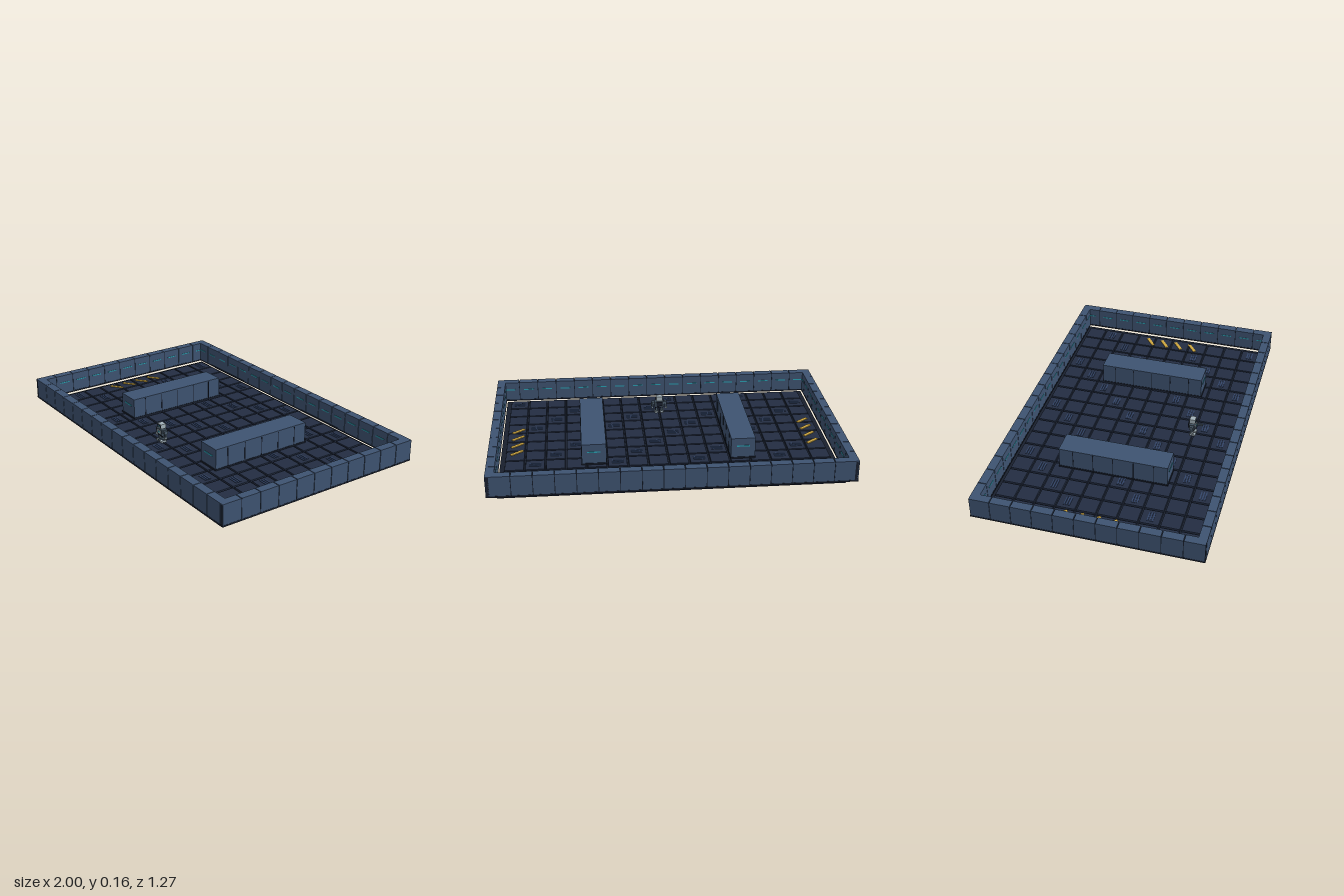
import * as THREE from 'three';

const P = 0.1154; // tile and wall panel pitch
const mat = (name, color) => new THREE.MeshStandardMaterial({ name, color });

export function createModel() {
  const root = new THREE.Group();
  root.name = 'arena';
  const M = {
    wall: mat('steelBlue', 0x3e5371),
    tile: mat('floorNavy', 0x232d42),
    dark: mat('darkNavy', 0x181f2d),
    vent: mat('ventBlue', 0x33466a),
    cyan: mat('cyanLight', 0x2ba3b5),
    yellow: mat('hazardYellow', 0xd0a840),
    shell: mat('robotGrey', 0xa3b2ba),
    joint: mat('robotSlate', 0x4a5b6b),
  };
  const group = (name, parent = root) => {
    const g = new THREE.Group();
    g.name = name;
    parent.add(g);
    return g;
  };
  const box = (parent, name, m, w, h, d, x, y, z) => {
    const b = new THREE.Mesh(new THREE.BoxGeometry(w, h, d), m);
    b.name = name;
    b.position.set(x, y, z);
    parent.add(b);
    return b;
  };

  // Floor slab with a grid of bevelled tiles
  const floor = group('floor');
  box(floor, 'slab', M.dark, 1.892, 0.022, 1.18, 0, 0.011, 0);
  const t = 0.052;
  const tileShape = new THREE.CylinderGeometry(t * Math.SQRT2, (t + 0.002) * Math.SQRT2, 0.009, 4, 1);
  tileShape.rotateY(Math.PI / 4);
  const tileGeo = tileShape.toNonIndexed();
  tileGeo.computeVertexNormals();
  for (let r = 0; r < 10; r++) {
    for (let c = 0; c < 16; c++) {
      const x = (c - 7.5) * P, z = (r - 4.5) * P;
      const tile = new THREE.Mesh(tileGeo, M.tile);
      tile.name = 'floorTile';
      tile.position.set(x, 0.0265, z);
      floor.add(tile);
      // Vent slats on every fourth tile, stepping diagonally
      const underStripes = (c === 0 || c === 15) && r > 2 && r < 7;
      if ((c + r) % 4 === 0 && !underStripes) {
        for (let k = -1; k <= 1; k++) {
          box(floor, 'ventSlat', M.vent, 0.064, 0.004, 0.007, x, 0.032, z + k * 0.014);
        }
      }
    }
  }

  // Hazard stripes near both short walls
  for (const s of [-1, 1]) {
    for (let i = 0; i < 4; i++) {
      const stripe = box(floor, 'hazardStripe', M.yellow, 0.085, 0.004, 0.019, s * 0.857, 0.034, (i - 1.5) * 0.0925);
      stripe.rotation.y = 0.65;
    }
  }

  // Panelled wall, built along local x with its inner face at local -z
  const makeWall = (name, n, x, z, turn) => {
    const g = group(name);
    const len = n * P;
    box(g, 'wallCore', M.dark, len - 0.004, 0.116, 0.042, 0, 0.092, 0);
    box(g, 'baseTrim', M.dark, len, 0.009, 0.05, 0, 0.0355, 0);
    for (let i = 0; i < n; i++) {
      const px = (i - (n - 1) / 2) * P;
      box(g, 'wallPanel', M.wall, P - 0.004, 0.115, 0.048, px, 0.0975, 0);
      box(g, 'wallLight', M.cyan, 0.062, 0.006, 0.003, px, 0.108, -0.0245);
    }
    g.position.set(x, 0, z);
    g.rotation.y = turn;
  };
  makeWall('frontWall', 17, 0, 0.61, 0);
  makeWall('backWall', 17, 0, -0.61, Math.PI);
  makeWall('leftWall', 11, 0.975, 0, Math.PI / 2);
  makeWall('rightWall', 11, -0.975, 0, -Math.PI / 2);

  // Two long barrier blocks with a light at each end
  for (const s of [-1, 1]) {
    const g = group(s > 0 ? 'leftBarrier' : 'rightBarrier');
    const x = s * 0.42;
    box(g, 'barrierBase', M.dark, 0.143, 0.01, 0.63, x, 0.035, 0);
    box(g, 'barrierBody', M.wall, 0.138, 0.118, 0.622, x, 0.096, 0);
    for (const e of [-1, 1]) {
      box(g, 'barrierLight', M.cyan, 0.075, 0.007, 0.003, x, 0.108, e * 0.312);
      for (let i = -2; i <= 2; i++) {
        box(g, 'barrierSeam', M.dark, 0.002, 0.11, 0.004, x + e * 0.0695, 0.093, i * P);
      }
    }
  }

  // Small robot standing near the front wall
  const robot = group('robot');
  robot.position.set(0, 0.031, 0.34);
  for (const s of [-1, 1]) {
    box(robot, 'foot', M.shell, 0.021, 0.01, 0.034, s * 0.017, 0.005, 0.004);
    box(robot, 'leg', M.joint, 0.014, 0.028, 0.016, s * 0.017, 0.024, 0);
    box(robot, 'shoulder', M.joint, 0.016, 0.016, 0.024, s * 0.038, 0.066, 0);
    box(robot, 'arm', M.joint, 0.011, 0.026, 0.013, s * 0.04, 0.047, 0);
    box(robot, 'hand', M.shell, 0.014, 0.011, 0.016, s * 0.041, 0.032, 0.004);
  }
  box(robot, 'hips', M.dark, 0.045, 0.01, 0.025, 0, 0.039, 0);
  box(robot, 'torso', M.joint, 0.056, 0.034, 0.034, 0, 0.06, 0);
  box(robot, 'chestPlate', M.shell, 0.036, 0.02, 0.004, 0, 0.062, 0.018);
  box(robot, 'chestLight', M.cyan, 0.014, 0.008, 0.003, 0, 0.062, 0.0205);
  box(robot, 'backPack', M.dark, 0.036, 0.024, 0.01, 0, 0.062, -0.021);
  box(robot, 'neck', M.dark, 0.016, 0.006, 0.016, 0, 0.08, 0);
  box(robot, 'head', M.shell, 0.038, 0.027, 0.032, 0, 0.0955, 0);
  box(robot, 'visor', M.dark, 0.032, 0.013, 0.004, 0, 0.096, 0.016);
  for (const s of [-1, 1]) box(robot, 'eye', M.cyan, 0.007, 0.006, 0.003, s * 0.008, 0.096, 0.0175);
  box(robot, 'tool', M.joint, 0.009, 0.01, 0.045, 0.043, 0.036, 0.03);

  return root;
}
